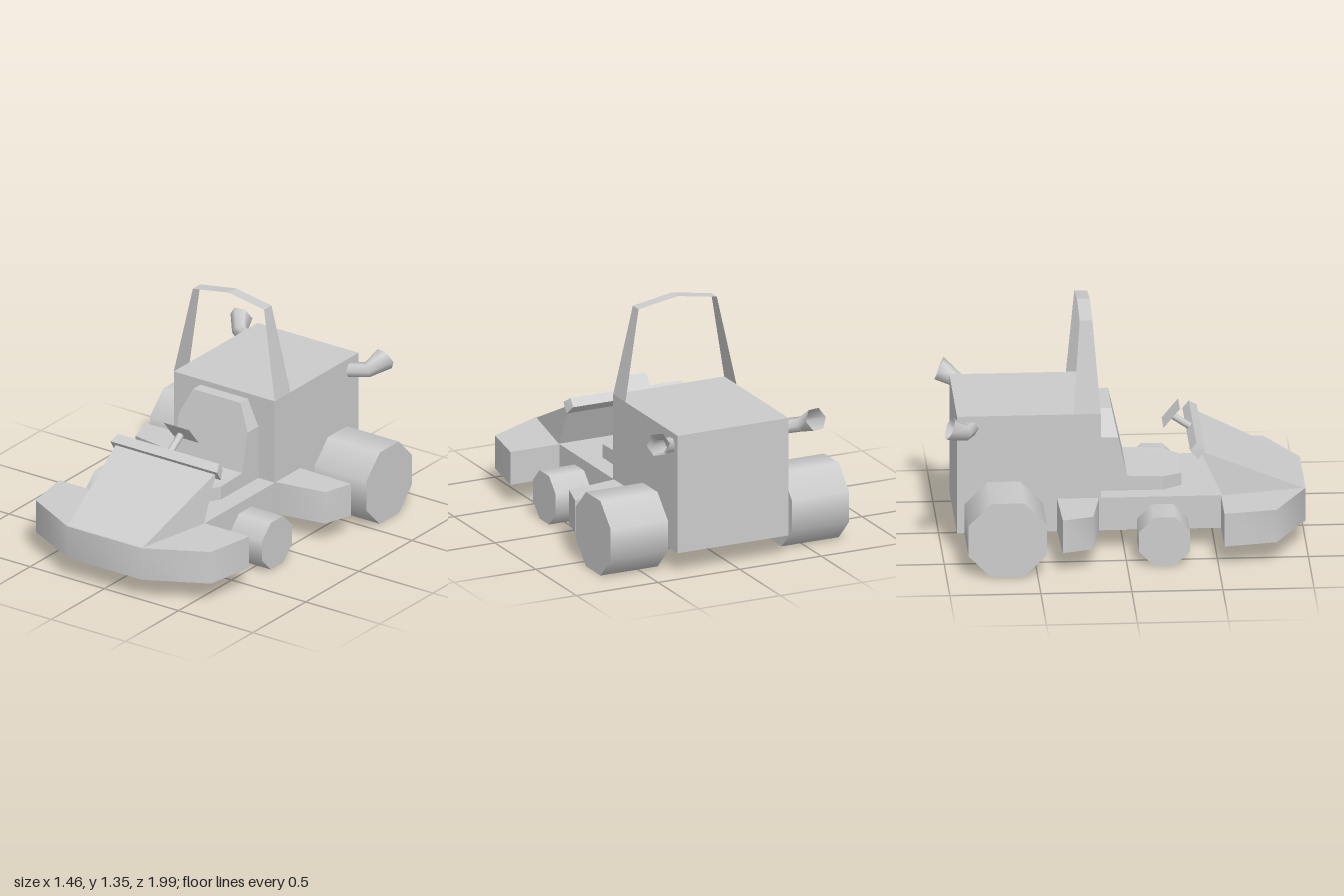
import * as THREE from 'three';
import { toCreasedNormals } from 'three/addons/utils/BufferGeometryUtils.js';

const mat = new THREE.MeshStandardMaterial({ color: 0xcccccc });
const flat = new THREE.MeshStandardMaterial({ color: 0xcccccc, flatShading: true });
const thin = new THREE.MeshStandardMaterial({ color: 0xcccccc, side: THREE.DoubleSide });
const thinFlat = new THREE.MeshStandardMaterial({ color: 0xcccccc, side: THREE.DoubleSide, flatShading: true });

function add(parent, name, geometry, material = mat) {
  const mesh = new THREE.Mesh(geometry, material);
  mesh.name = name;
  parent.add(mesh);
  return mesh;
}

// Closed outline mirrored from its right half, as a Shape
function mirroredShape(half) {
  const other = half.map(([x, y]) => [-x, y]).reverse();
  return new THREE.Shape([...half, ...other].map(([x, y]) => new THREE.Vector2(x, y)));
}

// Upright slab from a plan outline given as [x, z]
function slab(half, y0, y1) {
  const g = new THREE.ExtrudeGeometry(mirroredShape(half.map(([x, z]) => [x, -z])), { depth: y1 - y0, bevelEnabled: false });
  return g.rotateX(-Math.PI / 2).translate(0, y0, 0);
}

// Surface through rings of equal point count
function loft(rings, { closed = true, caps = false } = {}) {
  const n = rings[0].length, index = [];
  for (let i = 0; i < rings.length - 1; i++)
    for (let j = 0; j < (closed ? n : n - 1); j++) {
      const a = i * n + j, b = i * n + (j + 1) % n;
      index.push(a, b, a + n, b, b + n, a + n);
    }
  if (caps) {
    const last = (rings.length - 1) * n;
    for (let j = 1; j < n - 1; j++) index.push(0, j + 1, j, last, last + j, last + j + 1);
  }
  const g = new THREE.BufferGeometry();
  g.setAttribute('position', new THREE.Float32BufferAttribute(rings.flat(2), 3));
  g.setIndex(index);
  g.computeVertexNormals();
  return g;
}

// Regular polygon ring of radius r around centre c, facing direction d
function ring(c, d, r, sides = 6) {
  const n = new THREE.Vector3(...d).normalize();
  const u = new THREE.Vector3(0, 1, 0).cross(n).normalize();
  const v = n.clone().cross(u);
  return Array.from({ length: sides }, (_, i) => {
    const a = i / sides * Math.PI * 2;
    return new THREE.Vector3(...c).addScaledVector(u, r * Math.cos(a)).addScaledVector(v, r * Math.sin(a)).toArray();
  });
}

export function createModel() {
  const kart = new THREE.Group();
  kart.name = 'kart';

  // Floor pan with front bumper wings and side pods
  const plan = [[0.25, 1], [0.59, 0.82], [0.64, 0.53], [0.34, 0.53], [0.34, -0.14],
    [0.64, -0.19], [0.69, -0.36], [0.34, -0.37], [0.34, -0.92]];
  add(kart, 'chassis', toCreasedNormals(slab(plan, 0.12, 0.31), 1.13));

  // Engine housing
  add(kart, 'engineHousing', new THREE.BoxGeometry(0.68, 0.68, 0.79)).position.set(0, 0.46, -0.525);

  // Nose cowl: triangular section widening from the tip to the dashboard
  const cowlSide = s => [[s * 0.25, 0.305, 1], [s * 0.34, 0.305, 0.54], [s * 0.335, 0.57, 0.415]];
  add(kart, 'noseCowl', loft([cowlSide(-1), cowlSide(1)], { caps: true }), thinFlat);

  // Dashboard bar: diamond section with slanted ends
  const dashEnd = s => [[s * 0.36, 0.585, 0.44], [s * 0.36, 0.528, 0.405], [s * 0.34, 0.575, 0.36], [s * 0.34, 0.618, 0.395]];
  add(kart, 'dashboard', loft([dashEnd(-1), dashEnd(1)], { caps: true }), thinFlat);

  // Steering column and plate
  const steering = new THREE.Group();
  steering.name = 'steering';
  steering.position.set(0, 0.66, 0.28);
  steering.rotation.x = -0.98;
  kart.add(steering);
  add(steering, 'steeringColumn', new THREE.CylinderGeometry(0.02, 0.02, 0.13, 8)).position.y = -0.065;
  steering.children[0].name = 'steeringColumn';
  const wheelPlate = add(kart, 'steeringWheel', new THREE.PlaneGeometry(0.17, 0.142), thin);
  wheelPlate.position.set(0, 0.67, 0.275);
  wheelPlate.rotation.x = 0.69;

  // Seat cushion, slightly higher towards the back
  const cushion = slab([[0.23, -0.1], [0.23, 0.22], [0.16, 0.325]].reverse(), 0.3, 0.4);
  const cp = cushion.attributes.position;
  for (let i = 0; i < cp.count; i++)
    if (cp.getY(i) > 0.35) cp.setY(i, 0.4 - 0.065 * Math.max(0, cp.getZ(i) - 0.02));
  cushion.computeVertexNormals();
  add(kart, 'seatCushion', cushion, flat);

  // Backrest with clipped top corners and a leaning front face
  const back = new THREE.ExtrudeGeometry(mirroredShape([[0.23, 0.31], [0.23, 0.62], [0.16, 0.768]]), { depth: 0.1, bevelEnabled: false });
  const bp = back.attributes.position;
  for (let i = 0; i < bp.count; i++)
    bp.setZ(i, bp.getZ(i) < 0.05 ? -0.135 : 0.02 - (bp.getY(i) - 0.4) * 0.217);
  back.computeVertexNormals();
  add(kart, 'seatBack', back, flat);

  // Roll bar: thin ribbon tapering upwards
  const hoop = [[-0.34, 0.8, -0.13, -0.28], [-0.24, 1.31, -0.17, -0.24], [0, 1.35, -0.17, -0.24],
    [0.24, 1.31, -0.17, -0.24], [0.34, 0.8, -0.13, -0.28]];
  add(kart, 'rollBar', loft(hoop.map(([x, y, a, b]) => [[x, y, a], [x, y, b]]), { closed: false }), thinFlat);

  for (const s of [1, -1]) {
    const side = s > 0 ? 'left' : 'right';

    // Eight-sided wheels on short axles: [name, radius to flat, z, inner x, outer x, axle radius]
    for (const [name, r, z, x0, x1, axle] of [
      ['RearWheel', 0.215, -0.665, 0.38, 0.73, 0.056],
      ['FrontWheel', 0.14, 0.205, 0.38, 0.595, 0.045]]) {
      const tyre = new THREE.CylinderGeometry(r / Math.cos(Math.PI / 8), r / Math.cos(Math.PI / 8), x1 - x0, 8);
      tyre.rotateY(Math.PI / 8).rotateZ(Math.PI / 2);
      add(kart, side + name, tyre).position.set(s * (x0 + x1) / 2, r, z);
      const shaft = new THREE.CylinderGeometry(axle, axle, 0.1, 8).rotateZ(Math.PI / 2);
      add(kart, side + name + 'Axle', shaft).position.set(s * 0.35, r, z);
    }

    // Flared, open exhaust pipe
    const pipe = loft([
      ring([s * 0.33, 0.728, -0.842], [s, 0, -0.2], 0.043),
      ring([s * 0.43, 0.738, -0.878], [s * 0.7, 0.25, -0.7], 0.043),
      ring([s * 0.483, 0.785, -0.968], [s * 0.15, 0.38, -0.93], 0.067),
    ]);
    add(kart, side + 'Exhaust', pipe, thin);
  }
  return kart;
}
